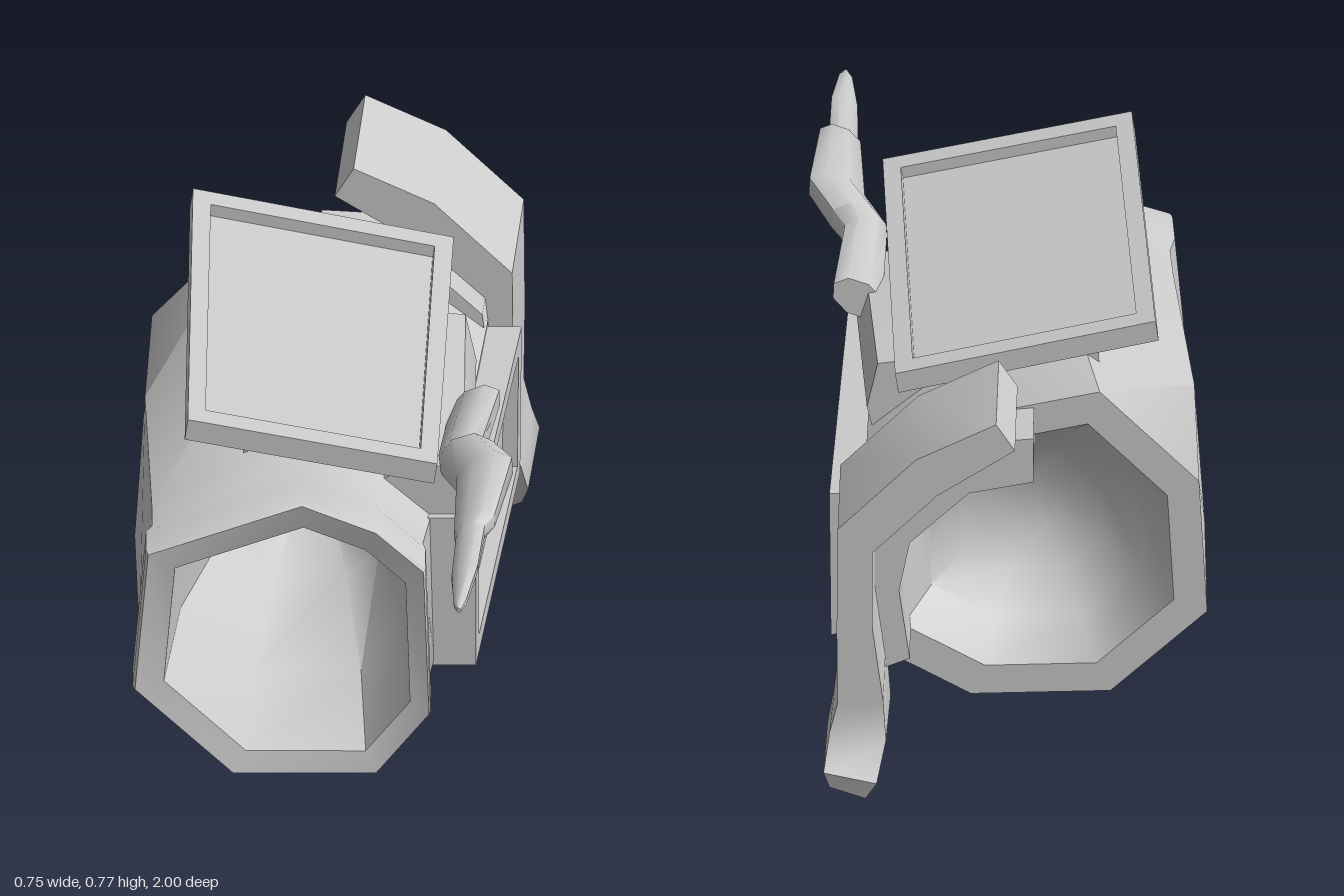
import * as THREE from 'three';
import { toCreasedNormals } from 'three/addons/utils/BufferGeometryUtils.js';

const material = new THREE.MeshStandardMaterial({ color: 0xcccccc });

// Closed skin over rings of [x, y, z]; rings run counter-clockwise about the travel direction
function loft(name, rings, crease = 0.55) {
  const n = rings[0].length;
  const pos = [];
  const tri = (a, b, c) => pos.push(...a, ...b, ...c);
  for (let i = 0; i < rings.length - 1; i++) {
    for (let j = 0; j < n; j++) {
      const k = (j + 1) % n;
      const [a, b, c, d] = [rings[i][j], rings[i][k], rings[i + 1][k], rings[i + 1][j]];
      tri(a, b, c);
      tri(a, c, d);
    }
  }
  const middle = (ring) => [0, 1, 2].map((c) => ring.reduce((s, p) => s + p[c], 0) / n);
  const first = rings[0], last = rings[rings.length - 1];
  const m0 = middle(first), m1 = middle(last);
  for (let j = 0; j < n; j++) {
    const k = (j + 1) % n;
    tri(m0, first[k], first[j]);
    tri(m1, last[j], last[k]);
  }
  const geometry = new THREE.BufferGeometry();
  geometry.setAttribute('position', new THREE.Float32BufferAttribute(pos, 3));
  const mesh = new THREE.Mesh(toCreasedNormals(geometry, crease), material);
  mesh.name = name;
  return mesh;
}

const mix = (a, b, t) => a.map((v, i) => v + (b[i] - v) * t);
const add = (p, d) => p.map((v, i) => v + d[i]);

// Slab with a raised border and a recessed face; four face corners, u and v are border fractions
function framedPanel(name, corners, thickness, u, v, recess) {
  const at = (s, t) => mix(mix(corners[0], corners[1], s), mix(corners[3], corners[2], s), t);
  const inner = [at(u, v), at(1 - u, v), at(1 - u, 1 - v), at(u, 1 - v)];
  return loft(name, [
    corners.map((p) => add(p, thickness)),
    corners,
    inner,
    inner.map((p) => add(p, recess)),
  ], 0.3);
}

// Curved band; stations are [outerX, outerY, innerX, innerY, frontZ, backZ], drawn in at the front
function band(name, stations, pullX, pullY) {
  return loft(name, stations.map(([ox, oy, ix, iy, zf, zb]) => [
    [ox, oy, zb],
    [ox - pullX, oy - pullY, zf],
    [ix - pullX, iy - pullY, zf],
    [ix, iy, zb],
  ]), 0.75);
}

export function createModel() {
  const group = new THREE.Group();

  // Eight-sided sleeve, hollow at both ends
  const front = [[-0.06, 0.565], [-0.35, 0.465], [-0.375, 0.19], [-0.19, 0.02],
    [0.08, 0.02], [0.18, 0.14], [0.17, 0.43], [0.08, 0.51]];
  const back = [[-0.16, 0.66], [-0.345, 0.47], [-0.36, 0.2], [-0.18, 0.04],
    [0.08, 0.04], [0.27, 0.15], [0.28, 0.46], [0.08, 0.615]];
  const ring = (z, t, s) => front.map((p, i) => {
    const [x, y] = mix(p, back[i], t);
    const cx = -0.04 - 0.01 * t, cy = 0.275 + 0.055 * t;
    return [cx + (x - cx) * s, cy + (y - cy) * s, z];
  });
  group.add(loft('sleeve', [
    ring(-0.4, 1, 0.15),
    ring(-0.43, 1, 0.4),
    ring(-0.5, 1, 0.62),
    ring(-0.6, 1, 0.8),
    ring(-0.6, 1, 1),
    ring(-0.2, 0.65, 1.03),
    ring(0.29, 0.12, 0.97),
    ring(0.39, 0.02, 0.965),
    ring(0.43, 0, 1),
    ring(0.52, 0, 1),
    ring(0.54, 0, 0.985),
    ring(0.53, 0, 0.825),
    ring(0.2, 0.1, 0.74),
    ring(-0.1, 0.3, 0.5),
    ring(-0.33, 0.5, 0.1),
  ], 0.8));

  // Display plate on top, tilted, on a low neck
  group.add(framedPanel('topPanel', [
    [-0.272, 0.708, 0.475], [0.192, 0.62, 0.475], [0.217, 0.665, -0.515], [-0.268, 0.762, -0.515],
  ], [-0.006, -0.04, 0], 0.07, 0.055, [-0.004, -0.022, 0]));
  const neck = (z, top, base) => [
    [0.08, top - 0.045, z], [-0.165, top, z], [-0.17, base + 0.03, z], [0.075, base, z],
  ];
  group.add(loft('panelNeck', [neck(-0.42, 0.69, 0.56), neck(-0.1, 0.67, 0.53), neck(0.23, 0.65, 0.5)]));

  // Framed plate on the outer side
  group.add(framedPanel('sidePanel', [
    [0.263, 0.137, 0.287], [0.34, 0.163, -0.588], [0.343, 0.455, -0.588], [0.263, 0.433, 0.287],
  ], [-0.11, 0, 0], 0.065, 0.12, [-0.028, 0, 0]));

  // Shoulder carrying the pointed arm, with a sloping tail running back
  const shoulder = (z, lift) => [
    [0.08, 0.5], [0.14, 0.43], [0.24, 0.42], [0.26, 0.5], [0.24, 0.545 + lift], [0.15, 0.555 + lift],
  ].map(([x, y]) => [x, y, z]);
  group.add(loft('armMount', [
    shoulder(-0.32, 0.045), shoulder(0.02, 0.02), shoulder(0.27, -0.02),
  ]));

  // Pointed arm, flattened and rolled: stations are [x, y, z, halfWidth, halfThickness]
  const arm = [
    [0.26, 0.552, 0.03, 0.055, 0.035],
    [0.235, 0.555, 0.28, 0.045, 0.038],
    [0.245, 0.565, 0.31, 0.058, 0.044],
    [0.28, 0.575, 0.42, 0.062, 0.04],
    [0.262, 0.568, 0.66, 0.046, 0.028],
    [0.255, 0.563, 0.68, 0.032, 0.021],
    [0.245, 0.552, 0.84, 0.03, 0.017],
    [0.237, 0.545, 0.97, 0.014, 0.011],
    [0.235, 0.543, 1.0, 0.004, 0.004],
  ];
  const roll = 0.62;
  group.add(loft('pointedArm', arm.map(([x, y, z, w, h]) =>
    Array.from({ length: 8 }, (_, i) => {
      const a = (i / 8) * Math.PI * 2;
      const u = Math.cos(a) * w, v = Math.sin(a) * h;
      return [x + u * Math.cos(roll) - v * Math.sin(roll), y + u * Math.sin(roll) + v * Math.cos(roll), z];
    })), 0.85));

  // Inner collar joining the sleeve to the rear guard
  group.add(band('collar', [
    [-0.03, 0.63, -0.03, 0.54, -0.56, -0.73],
    [0.14, 0.62, 0.09, 0.52, -0.56, -0.73],
    [0.28, 0.49, 0.2, 0.42, -0.56, -0.73],
    [0.3, 0.32, 0.22, 0.32, -0.56, -0.73],
    [0.28, 0.15, 0.2, 0.18, -0.56, -0.73],
  ], 0.01, 0));

  // Rear guard wrapping over the top and down the outer side, flared at the foot
  group.add(band('rearGuard', [
    [0.05, 0.77, 0.015, 0.715, -0.64, -0.95],
    [0.2, 0.7, 0.16, 0.625, -0.64, -0.95],
    [0.345, 0.56, 0.28, 0.51, -0.64, -0.95],
    [0.347, 0.35, 0.28, 0.35, -0.64, -0.95],
    [0.345, 0.2, 0.26, 0.2, -0.64, -0.95],
    [0.36, 0.14, 0.255, 0.12, -0.72, -0.95],
    [0.374, 0.08, 0.275, 0.055, -0.745, -1.0],
    [0.362, 0.045, 0.295, 0.02, -0.77, -0.99],
  ], 0.02, 0.02));

  return group;
}
